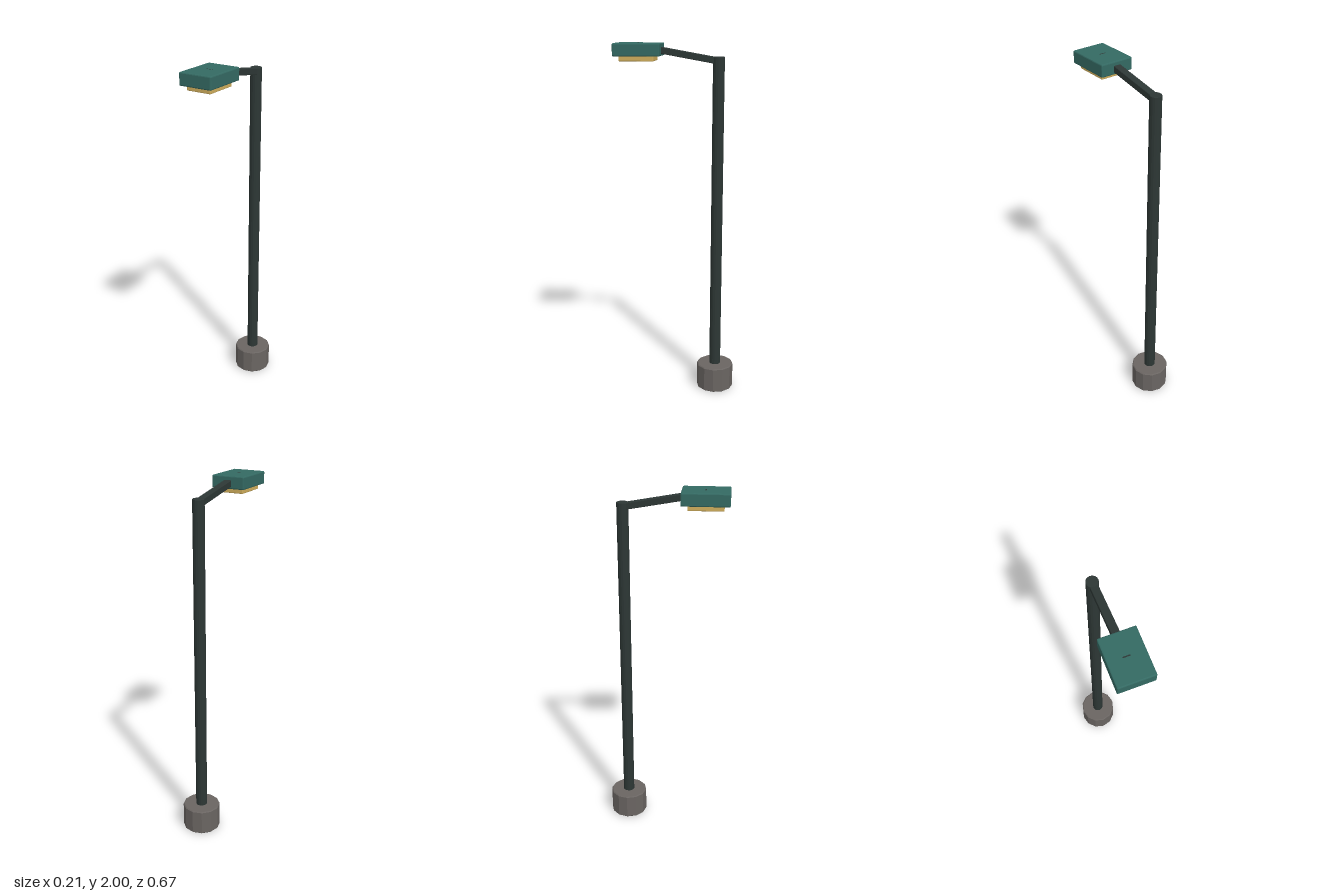
import * as THREE from 'three';
import { RoundedBoxGeometry } from 'three/addons/geometries/RoundedBoxGeometry.js';

function material(name, color) {
  const m = new THREE.MeshStandardMaterial({ color });
  m.name = name;
  return m;
}

// Separate the faces so each one is shaded flat.
function faceted(geometry) {
  const g = geometry.index ? geometry.toNonIndexed() : geometry;
  g.computeVertexNormals();
  return g;
}

// Upright prism with small chamfers at both rims.
function chamferedPrism(radius, height, bevel, sides) {
  const profile = [
    [0, 0], [radius - bevel, 0], [radius, bevel],
    [radius, height - bevel], [radius - bevel, height], [0, height],
  ].map(([x, y]) => new THREE.Vector2(x, y));
  return faceted(new THREE.LatheGeometry(profile, sides));
}

function chamferedBox(w, h, d, bevel) {
  return faceted(new RoundedBoxGeometry(w, h, d, 1, bevel));
}

export function createModel() {
  const group = new THREE.Group();
  group.name = 'streetLamp';

  const concrete = material('concrete grey', 0x6a6562);
  const iron = material('dark iron', 0x2d3735);
  const teal = material('teal paint', 0x346a63);
  const glow = material('warm lens', 0xd0ae5c);

  const add = (name, geometry, mat, x, y, z) => {
    const mesh = new THREE.Mesh(geometry, mat);
    mesh.name = name;
    mesh.position.set(x, y, z);
    group.add(mesh);
    return mesh;
  };

  const poleZ = -0.232;
  const headZ = 0.207;

  // Footing and pole
  add('footing', chamferedPrism(0.106, 0.145, 0.005, 12), concrete, 0, 0, poleZ);
  add('pole', chamferedPrism(0.032, 1.788, 0.003, 16), iron, 0, 0.14, poleZ);

  // Sloping arm from the pole into the lamp head
  const start = new THREE.Vector3(0, 1.905, poleZ);
  const end = new THREE.Vector3(0, 1.983, 0.212);
  const mid = start.clone().lerp(end, 0.5);
  const arm = add('arm', chamferedBox(0.041, 0.035, start.distanceTo(end), 0.003), iron, mid.x, mid.y, mid.z);
  arm.rotation.x = -Math.atan2(end.y - start.y, end.z - start.z);

  // Lamp head with its lens beneath
  add('lampHead', chamferedBox(0.19, 0.069, 0.256, 0.006), teal, 0, 1.9645, headZ);
  add('lens', chamferedBox(0.142, 0.036, 0.19, 0.004), glow, 0, 1.921, headZ + 0.002);

  return group;
}
